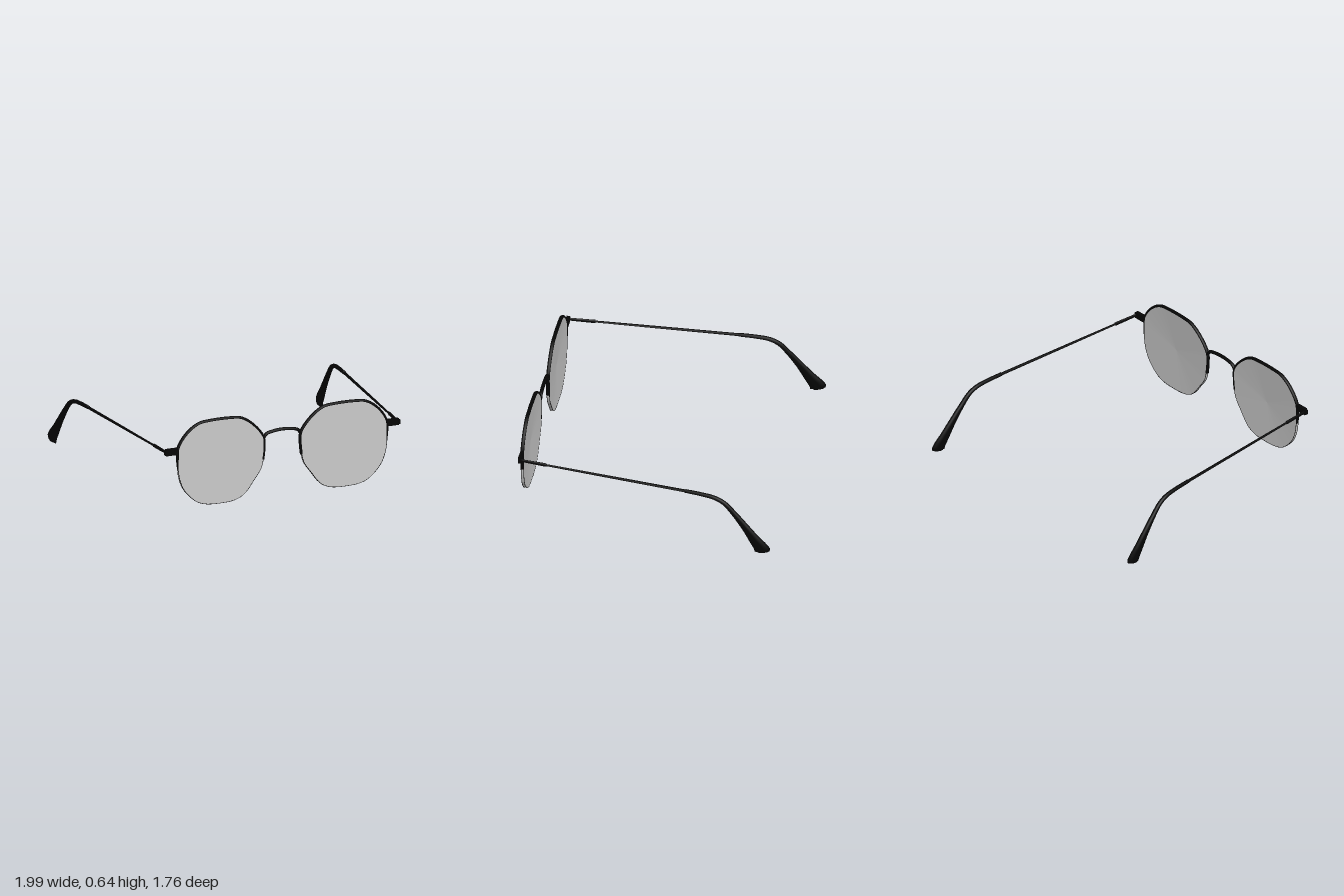
import * as THREE from 'three';

const V = (x, y, z) => new THREE.Vector3(x, y, z);
const black = new THREE.MeshStandardMaterial({ color: 0x050505 });
const grey = new THREE.MeshStandardMaterial({ color: 0xcccccc });
const FRONT = 0.875;

// Sweeps an ellipse along a curve; sizes are [half width, half thickness along axis] per path point
function sweep(points, sizes, axis, steps, closed = false, sides = 10) {
  const curve = new THREE.CatmullRomCurve3(points, closed);
  const B = axis.clone().normalize();
  const pos = [], idx = [];
  for (let i = 0; i <= steps; i++) {
    const t = i / steps;
    const P = curve.getPoint(t);
    const N = B.clone().cross(curve.getTangent(t)).normalize();
    const f = t * (sizes.length - 1), k = Math.min(Math.floor(f), sizes.length - 1);
    const next = sizes[Math.min(k + 1, sizes.length - 1)];
    const a = THREE.MathUtils.lerp(sizes[k][0], next[0], f - k);
    const b = THREE.MathUtils.lerp(sizes[k][1], next[1], f - k);
    for (let j = 0; j < sides; j++) {
      const q = (j / sides) * Math.PI * 2;
      pos.push(...P.clone().addScaledVector(N, a * Math.cos(q)).addScaledVector(B, b * Math.sin(q)));
      if (i < steps) {
        const c = i * sides + j, d = i * sides + (j + 1) % sides;
        idx.push(c, d, d + sides, c, d + sides, c + sides);
      }
    }
  }
  // end caps
  if (!closed) {
    const last = steps * sides;
    for (let j = 1; j < sides - 1; j++) {
      idx.push(0, j + 1, j, last, last + j, last + j + 1);
    }
  }
  const g = new THREE.BufferGeometry();
  g.setAttribute('position', new THREE.Float32BufferAttribute(pos, 3));
  g.setIndex(idx);
  g.computeVertexNormals();
  return g;
}

// Lens slab: flat front, slightly dished back
function lensGeometry(points) {
  const ring = new THREE.CatmullRomCurve3(points, true).getPoints(72);
  const zf = FRONT + 0.009, zb = FRONT - 0.009;
  const cf = [0.455, 0.335, zf], cb = [0.455, 0.335, zb + 0.012];
  const pos = [];
  for (let i = 0; i < 72; i++) {
    const p = ring[i], q = ring[i + 1]; // outline runs clockwise seen from the front
    const pf = [p.x, p.y, zf], qf = [q.x, q.y, zf], pb = [p.x, p.y, zb], qb = [q.x, q.y, zb];
    pos.push(...cf, ...qf, ...pf, ...cb, ...pb, ...qb);
    pos.push(...pf, ...qf, ...qb, ...pf, ...qb, ...pb);
  }
  const g = new THREE.BufferGeometry();
  g.setAttribute('position', new THREE.Float32BufferAttribute(pos, 3));
  g.computeVertexNormals();
  return g;
}

// Mirrors a geometry across x = 0, keeping faces outward
function mirrored(geometry) {
  const g = geometry.index ? geometry.toNonIndexed() : geometry.clone();
  g.scale(-1, 1, 1);
  for (const name of ['position', 'normal']) {
    const a = g.attributes[name], u = V(0, 0, 0), w = V(0, 0, 0);
    for (let i = 0; i < a.count; i += 3) {
      u.fromBufferAttribute(a, i + 1);
      w.fromBufferAttribute(a, i + 2);
      a.setXYZ(i + 1, w.x, w.y, w.z);
      a.setXYZ(i + 2, u.x, u.y, u.z);
    }
  }
  return g;
}

export function createModel() {
  const model = new THREE.Group();
  model.name = 'glasses';
  const add = (name, geometry, material = black) => {
    const mesh = new THREE.Mesh(geometry, material);
    mesh.name = name;
    model.add(mesh);
  };
  const addPair = (name, geometry, material) => {
    add('left' + name, geometry, material);
    add('right' + name, mirrored(geometry), material);
  };

  // lens outline, from the nose side over the top; the first twelve points carry the brow rim
  const outline = [
    [0.141, 0.3], [0.133, 0.38], [0.138, 0.46], [0.215, 0.56], [0.3, 0.617], [0.38, 0.628],
    [0.53, 0.628], [0.61, 0.617], [0.695, 0.56], [0.76, 0.465], [0.766, 0.39], [0.763, 0.31],
    [0.75, 0.23], [0.715, 0.15], [0.635, 0.068], [0.57, 0.04], [0.455, 0.031],
    [0.35, 0.04], [0.278, 0.075], [0.208, 0.165], [0.16, 0.235],
  ].map(([x, y]) => V(x, y, FRONT));
  const zAxis = V(0, 0, 1);
  addPair('Lens', lensGeometry(outline), grey);

  // fine wires along the front and back edges of each lens
  for (const [name, dz] of [['FrontWire', 0.009], ['BackWire', -0.009]]) {
    addPair(name, sweep(outline.map((p) => V(p.x, p.y, FRONT + dz)), [[0.002, 0.002]], zAxis, 90, true, 6));
  }
  const rimSizes = outline.slice(0, 12).map((p, i) => (i === 11 ? [0.004, 0.012] : [0.01, 0.013]));
  addPair('BrowRim', sweep(outline.slice(0, 12), rimSizes, zAxis, 70));

  // bridge
  const bridge = [[-0.133, 0.455], [-0.115, 0.478], [-0.07, 0.491], [0, 0.497], [0.07, 0.491], [0.115, 0.478], [0.133, 0.455]];
  add('bridge', sweep(bridge.map(([x, y]) => V(x, y, FRONT)), [[0.011, 0.013]], zAxis, 36));

  // end pieces joining the rims to the temples
  const block = (w, h, d, x, y, z) => new THREE.BoxGeometry(w, h, d).translate(x, y, z);
  addPair('EndPiece', block(0.085, 0.046, 0.024, 0.808, 0.44, FRONT));
  addPair('EndPieceTab', block(0.03, 0.03, 0.024, 0.845, 0.438, FRONT));

  // temples splay outward towards the back
  const templeX = (z) => 0.846 + (0.87 - z) * 0.078;
  const side = ([z, y]) => V(templeX(z), y, z);
  const axis = V(1, 0, 0.078);
  addPair('Hinge', sweep([[0.875, 0.44], [0.69, 0.435]].map(side), [[0.011, 0.006], [0.013, 0.009]], axis, 2));
  addPair('TempleRod', sweep([[0.7, 0.435], [-0.3, 0.405]].map(side), [[0.006, 0.008], [0.009, 0.012]], axis, 2));

  // curved ear tip widening to a paddle
  const tip = [
    [-0.28, 0.406], [-0.4, 0.399], [-0.49, 0.386], [-0.555, 0.354], [-0.62, 0.285],
    [-0.7, 0.185], [-0.766, 0.095], [-0.805, 0.045], [-0.819, 0.02], [-0.822, 0.006],
  ];
  const tipSizes = [
    [0.012, 0.014], [0.013, 0.015], [0.014, 0.016], [0.016, 0.016], [0.019, 0.017],
    [0.029, 0.017], [0.043, 0.017], [0.053, 0.017], [0.059, 0.017], [0.04, 0.016],
  ];
  addPair('EarTip', sweep(tip.map(side), tipSizes, axis, 45));

  return model;
}
